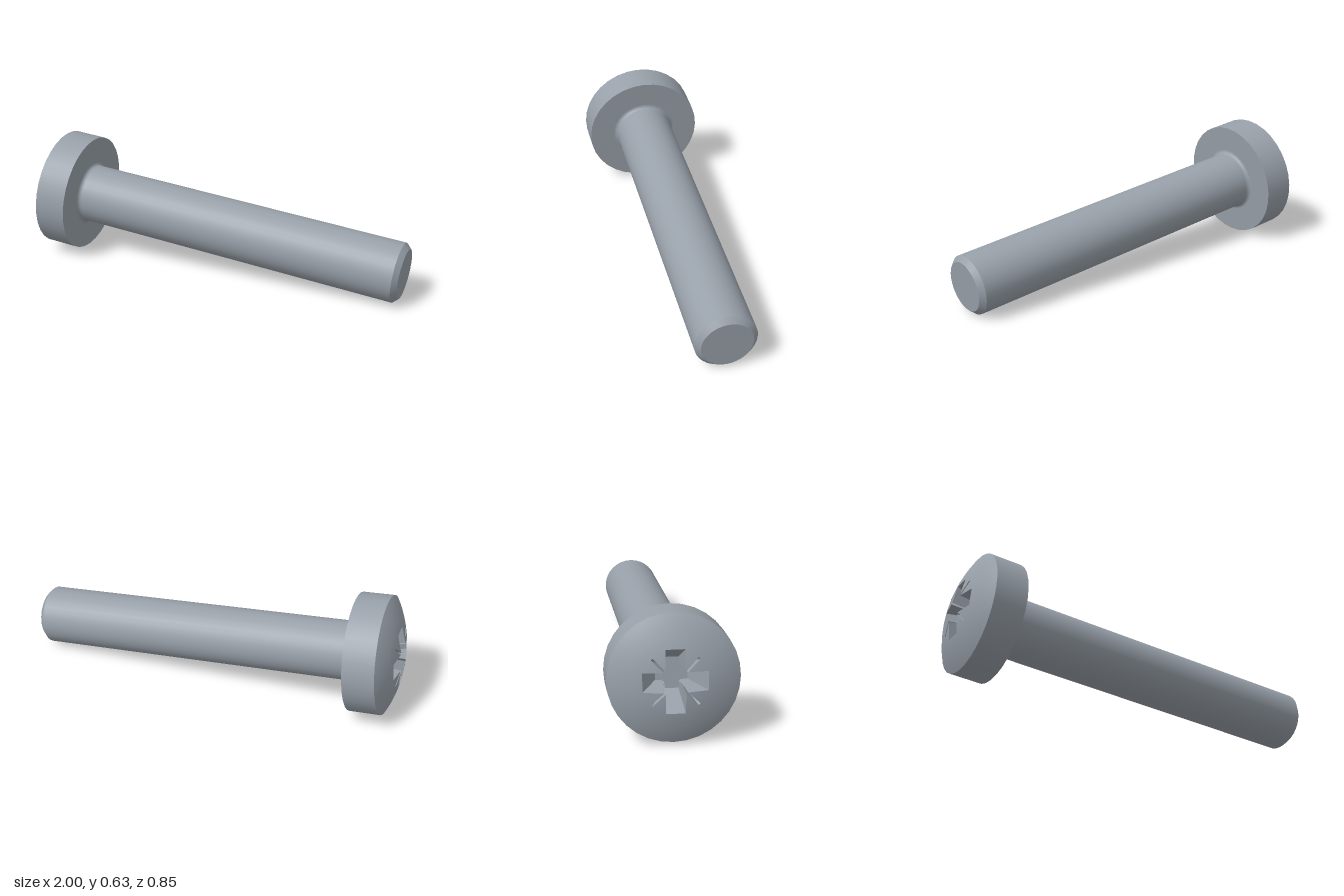
import * as THREE from 'three';

const SEG = 32;
const SHAFT_R = 0.1535, HEAD_R = 0.307;
const UNDER = 1.762, RIM = 1.926, DOME_H = 0.08; // heights along the axis from the tip
const SPHERE_R = (HEAD_R * HEAD_R + DOME_H * DOME_H) / (2 * DOME_H);
const PATCH_R = 0.2; // dome area that holds the recess
const domeY = (r) => RIM + DOME_H - SPHERE_R + Math.sqrt(SPHERE_R * SPHERE_R - r * r);

export function createModel() {
  const steel = new THREE.MeshStandardMaterial({ color: 0x98a0a9 });
  steel.name = 'steel';

  const screw = new THREE.Group();
  screw.name = 'screw';
  const add = (name, geometry) => {
    const mesh = new THREE.Mesh(geometry, steel);
    mesh.name = name;
    screw.add(mesh);
    return mesh;
  };
  const turned = (name, points) =>
    add(name, new THREE.LatheGeometry(points.map(([r, y]) => new THREE.Vector2(r, y)), SEG));

  // Shaft: flat tip, chamfer, plain shank and small fillet under the head
  turned('tipFace', [[0, 0], [0.128, 0]]);
  turned('tipChamfer', [[0.128, 0], [SHAFT_R, 0.0265]]);
  const fillet = 0.02;
  const shank = [[SHAFT_R, 0.0265], [SHAFT_R, UNDER - fillet - 0.002]];
  for (let i = 0; i <= 6; i++) {
    const a = (i / 6) * Math.PI / 2;
    shank.push([SHAFT_R + fillet * (1 - Math.cos(a)), UNDER - fillet * (1 - Math.sin(a))]);
  }
  turned('shank', shank);

  // Head: underside, cylindrical rim and outer dome ring
  turned('headUnderside', [[SHAFT_R + fillet, UNDER], [HEAD_R, UNDER]]);
  turned('headRim', [[HEAD_R, UNDER], [HEAD_R, RIM]]);
  const ring = [];
  for (let i = 0; i <= 6; i++) {
    const r = HEAD_R + (PATCH_R - HEAD_R) * i / 6;
    ring.push([r, domeY(r)]);
  }
  turned('domeRing', ring);

  // Cross recess outline: four wings with a thin diagonal groove between them
  const quarterTop = [[0.15, -0.045], [0.15, 0.045], [0.054, 0.047],
    [0.112, 0.104], [0.104, 0.112], [0.047, 0.054]];
  const quarterBottom = [[0.075, -0.033], [0.075, 0.033], [0.04, 0.034],
    [0.039, 0.037], [0.037, 0.039], [0.034, 0.04]];
  const fourfold = (points) => {
    const out = [];
    for (let q = 0; q < 4; q++) {
      for (const [x, y] of points) {
        out.push(new THREE.Vector2(x, y).rotateAround(new THREE.Vector2(), q * Math.PI / 2));
      }
    }
    return out;
  };
  const top = fourfold(quarterTop), bottom = fourfold(quarterBottom);
  const floorY = RIM + DOME_H - 0.165;

  // Dome centre with the recess opening cut out
  const disc = new THREE.Shape();
  for (let i = 0; i < SEG; i++) {
    const a = (i / SEG) * Math.PI * 2, x = PATCH_R * Math.cos(a), y = PATCH_R * Math.sin(a);
    if (i) disc.lineTo(x, y); else disc.moveTo(x, y);
  }
  disc.closePath();
  disc.holes.push(new THREE.Path(top.slice().reverse()));
  const patch = new THREE.ShapeGeometry(disc);
  const pos = patch.attributes.position, nor = patch.attributes.normal;
  for (let i = 0; i < pos.count; i++) {
    const x = pos.getX(i), y = pos.getY(i), r = Math.hypot(x, y);
    pos.setZ(i, domeY(r));
    nor.setXYZ(i, x / SPHERE_R, y / SPHERE_R, Math.sqrt(1 - (r / SPHERE_R) ** 2));
  }
  patch.rotateX(-Math.PI / 2);
  add('domeCentre', patch);

  // Recess walls lofted from the opening down to the floor
  const walls = [];
  for (let i = 0; i < top.length; i++) {
    const j = (i + 1) % top.length;
    const up = (p) => [p.x, p.y, domeY(p.length())];
    const down = (p) => [p.x, p.y, floorY];
    const a = up(top[i]), b = up(top[j]), c = down(bottom[j]), d = down(bottom[i]);
    walls.push(...a, ...b, ...c, ...a, ...c, ...d);
  }
  const wallGeometry = new THREE.BufferGeometry();
  wallGeometry.setAttribute('position', new THREE.Float32BufferAttribute(walls, 3));
  wallGeometry.rotateX(-Math.PI / 2);
  wallGeometry.computeVertexNormals();
  add('recessWalls', wallGeometry);

  // Recess floor
  const floor = new THREE.ShapeGeometry(new THREE.Shape(bottom));
  floor.translate(0, 0, floorY).rotateX(-Math.PI / 2);
  add('recessFloor', floor);

  // Lay the screw down, resting on its head rim and tip
  const axis = new THREE.Vector3(-0.9739, 0.0894, -0.2089).normalize();
  const side = new THREE.Vector3(0, 1, 0).cross(axis).normalize();
  const third = side.clone().cross(axis);
  screw.quaternion.setFromRotationMatrix(new THREE.Matrix4().makeBasis(side, axis, third));
  screw.position.set(0.971, 0.1515, 0.278);

  const model = new THREE.Group();
  model.name = 'panHeadScrew';
  model.add(screw);
  return model;
}
